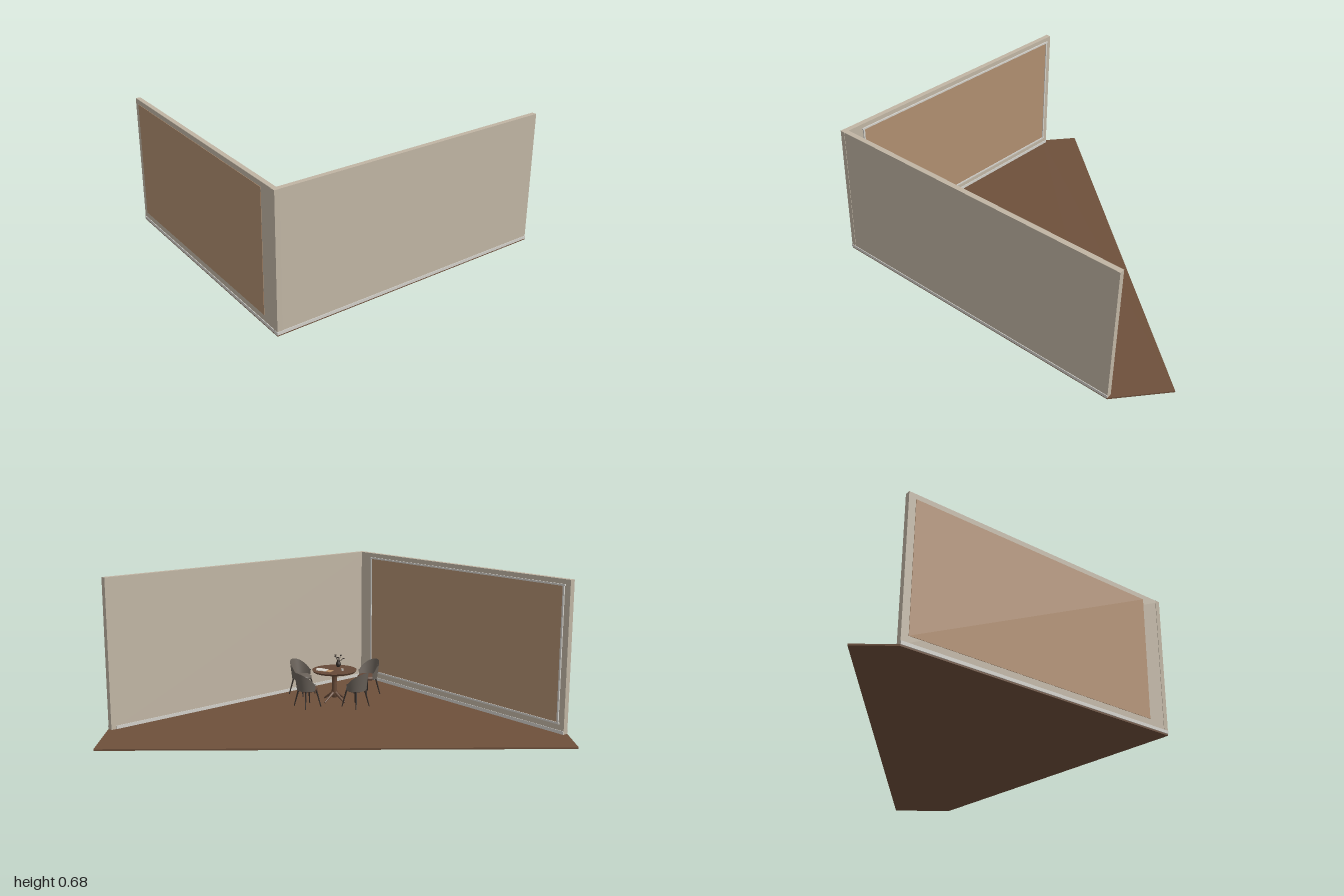
import * as THREE from 'three';

const mat = (name, color, side = THREE.FrontSide) => {
  const m = new THREE.MeshStandardMaterial({ color, side });
  m.name = name;
  return m;
};
const M = {
  wall: mat('wall plaster', 0xc0b5a4),
  panel: mat('tan panel', 0xb08e70),
  trim: mat('pale trim', 0xd2d0ca),
  floor: mat('floor wood', 0x6e503b),
  table: mat('table wood', 0x674a38),
  grey: mat('grey upholstery', 0x6a625a, THREE.DoubleSide),
  brown: mat('brown upholstery', 0x64493a, THREE.DoubleSide),
  dark: mat('dark metal', 0x332c28),
  paper: mat('paper', 0xd8d4cc),
  folder: mat('tan folder', 0xb98f66),
};

function add(parent, name, geometry, material, x = 0, y = 0, z = 0) {
  const mesh = new THREE.Mesh(geometry, material);
  mesh.name = name;
  mesh.position.set(x, y, z);
  parent.add(mesh);
  return mesh;
}

// Box given by its minimum and maximum corners
function block(parent, name, material, a, b) {
  const s = b.map((v, i) => v - a[i]);
  const c = b.map((v, i) => (v + a[i]) / 2);
  return add(parent, name, new THREE.BoxGeometry(...s), material, ...c);
}

// Tapered round bar between two points
function bar(parent, name, material, a, b, r0, r1) {
  const p = new THREE.Vector3(...a), q = new THREE.Vector3(...b);
  const d = q.clone().sub(p);
  const mesh = add(parent, name, new THREE.CylinderGeometry(r1, r0, d.length(), 10), material);
  mesh.position.copy(p).add(q).multiplyScalar(0.5);
  mesh.quaternion.setFromUnitVectors(new THREE.Vector3(0, 1, 0), d.normalize());
  return mesh;
}

const BASE = 0.007, TOP = 0.68, THICK = 0.025;
const apex = [-0.155, 0.652], rightEnd = [1, -0.365], leftEnd = [-1, -0.465];

// Wall running from p to q on plan; local +z is the outer side
function makeWall(name, p, q) {
  const g = new THREE.Group();
  g.name = name;
  const dx = q[0] - p[0], dz = q[1] - p[1], len = Math.hypot(dx, dz);
  g.position.set(p[0], 0, p[1]);
  g.rotation.y = Math.atan2(-dz, dx);
  block(g, 'wallSlab', M.wall, [0, BASE, -THICK], [len, TOP, 0]);
  block(g, 'outerBaseboard', M.trim, [0, BASE, 0], [len, 0.022, 0.003]);
  block(g, 'innerBaseboard', M.trim, [0, BASE, -THICK - 0.003], [len - THICK, 0.022, -THICK]);
  return g;
}

function makeChair(seatMaterial, x, z) {
  const g = new THREE.Group();
  g.name = 'chair';
  g.position.set(x, BASE, z);
  // local -z is the back, turned away from the table
  g.rotation.y = Math.atan2(0 - x, 0.094 - z);

  // Cushion
  const profile = [[0, 0.078], [0.04, 0.078], [0.046, 0.084], [0.046, 0.092], [0.04, 0.098], [0, 0.1]];
  const seat = add(g, 'seat', new THREE.LatheGeometry(profile.map(v => new THREE.Vector2(...v)), 28), seatMaterial);
  seat.scale.set(1.05, 1, 1);

  // Wraparound back that drops towards the arms
  for (const [part, r, inset] of [['backOuter', 0.056, 0], ['backInner', 0.05, 0.003]]) {
    const geo = new THREE.CylinderGeometry(r, r - 0.006, 1, 28, 4, true, Math.PI * 0.45, Math.PI * 1.1);
    const pos = geo.attributes.position;
    for (let i = 0; i < pos.count; i++) {
      const t = pos.getY(i) + 0.5;
      const backness = Math.max(0, -pos.getZ(i) / r);
      const top = 0.118 + 0.054 * Math.pow(backness, 0.8) - inset;
      pos.setY(i, THREE.MathUtils.lerp(0.082, top, t));
      pos.setZ(i, pos.getZ(i) - 0.008 * t * backness);
    }
    geo.computeVertexNormals();
    add(g, part, geo, M.grey);
  }

  // Splayed legs
  for (const sx of [-1, 1]) for (const sz of [-1, 1])
    bar(g, 'chairLeg', M.dark, [sx * 0.046, 0, sz * 0.046], [sx * 0.03, 0.082, sz * 0.03], 0.0025, 0.004);
  return g;
}

function makeTable() {
  const g = new THREE.Group();
  g.name = 'table';
  g.position.set(0, BASE, 0.094);
  add(g, 'tableTop', new THREE.CylinderGeometry(0.108, 0.102, 0.009, 48), M.table, 0, 0.1525, 0);
  const stem = [[0.03, 0.148], [0.014, 0.135], [0.011, 0.09], [0.014, 0.045], [0.012, 0.02], [0, 0.02]];
  add(g, 'pedestal', new THREE.LatheGeometry(stem.reverse().map(v => new THREE.Vector2(...v)), 24), M.table);
  for (let i = 0; i < 4; i++) {
    const a = Math.PI / 4 + i * Math.PI / 2, c = Math.cos(a), s = Math.sin(a);
    bar(g, 'tableFoot', M.table, [c * 0.068, 0.004, s * 0.068], [c * 0.006, 0.045, s * 0.006], 0.004, 0.008);
  }

  // Papers, folder and cup
  const folder = add(g, 'folder', new THREE.BoxGeometry(0.05, 0.002, 0.04), M.folder, 0.035, 0.158, -0.03);
  folder.rotation.y = -0.4;
  for (const [x, z, a] of [[0.055, -0.02, -0.3], [0.068, -0.008, -0.1]]) {
    const sheet = add(g, 'sheet', new THREE.BoxGeometry(0.04, 0.002, 0.042), M.paper, x, 0.16, z);
    sheet.rotation.y = a;
  }
  add(g, 'cup', new THREE.CylinderGeometry(0.006, 0.005, 0.01, 16), M.paper, -0.038, 0.162, -0.025);

  // Vase with twigs
  const vase = [[0, 0], [0.008, 0], [0.013, 0.01], [0.011, 0.02], [0.006, 0.027], [0.008, 0.031]];
  add(g, 'vase', new THREE.LatheGeometry(vase.map(v => new THREE.Vector2(...v)), 20), M.dark, -0.02, 0.157, 0.065);
  for (let i = 0; i < 5; i++) {
    const a = i * 2.4, r = 0.014 + 0.003 * i;
    const tip = [-0.02 + r * Math.cos(a), 0.215 - 0.004 * i, 0.065 + r * Math.sin(a)];
    bar(g, 'twig', M.dark, [-0.02, 0.18, 0.065], tip, 0.0012, 0.001);
    const leaf = add(g, 'leaf', new THREE.SphereGeometry(0.005, 10, 8), M.dark, ...tip);
    leaf.scale.set(1, 0.6, 1);
  }
  return g;
}

export function createModel() {
  const model = new THREE.Group();
  model.name = 'diningCorner';

  // Five-sided floor
  const outline = [[-1, -0.655], [1, -0.655], rightEnd, apex, leftEnd];
  const shape = new THREE.Shape(outline.map(([x, z]) => new THREE.Vector2(x, -z)));
  const floor = new THREE.ExtrudeGeometry(shape, { depth: BASE, bevelEnabled: false });
  floor.rotateX(-Math.PI / 2);
  add(model, 'floor', floor, M.floor);

  // Two walls meeting at the apex
  model.add(makeWall('rightWall', apex, rightEnd));
  const left = makeWall('leftWall', leftEnd, apex);
  model.add(left);

  // Tan panel showing on both sides of the left wall, trimmed inside
  const x0 = 0.033, x1 = 1.29, y0 = 0.052, y1 = 0.655, w = 0.008;
  block(left, 'panel', M.panel, [x0, y0, -THICK - 0.002], [x1, y1, 0.002]);
  const zi = -THICK - 0.006, zo = -THICK;
  for (const y of [y0, y1]) block(left, 'panelTrim', M.trim, [x0 - w, y - w / 2, zi], [x1 + w, y + w / 2, zo]);
  for (const x of [x0, x1]) block(left, 'panelTrim', M.trim, [x - w / 2, y0, zi], [x + w / 2, y1, zo]);

  // Furniture
  model.add(makeTable());
  model.add(makeChair(M.grey, -0.1, -0.005));
  model.add(makeChair(M.brown, 0.13, -0.002));
  model.add(makeChair(M.brown, -0.165, 0.23));
  model.add(makeChair(M.grey, 0.16, 0.235));
  return model;
}
